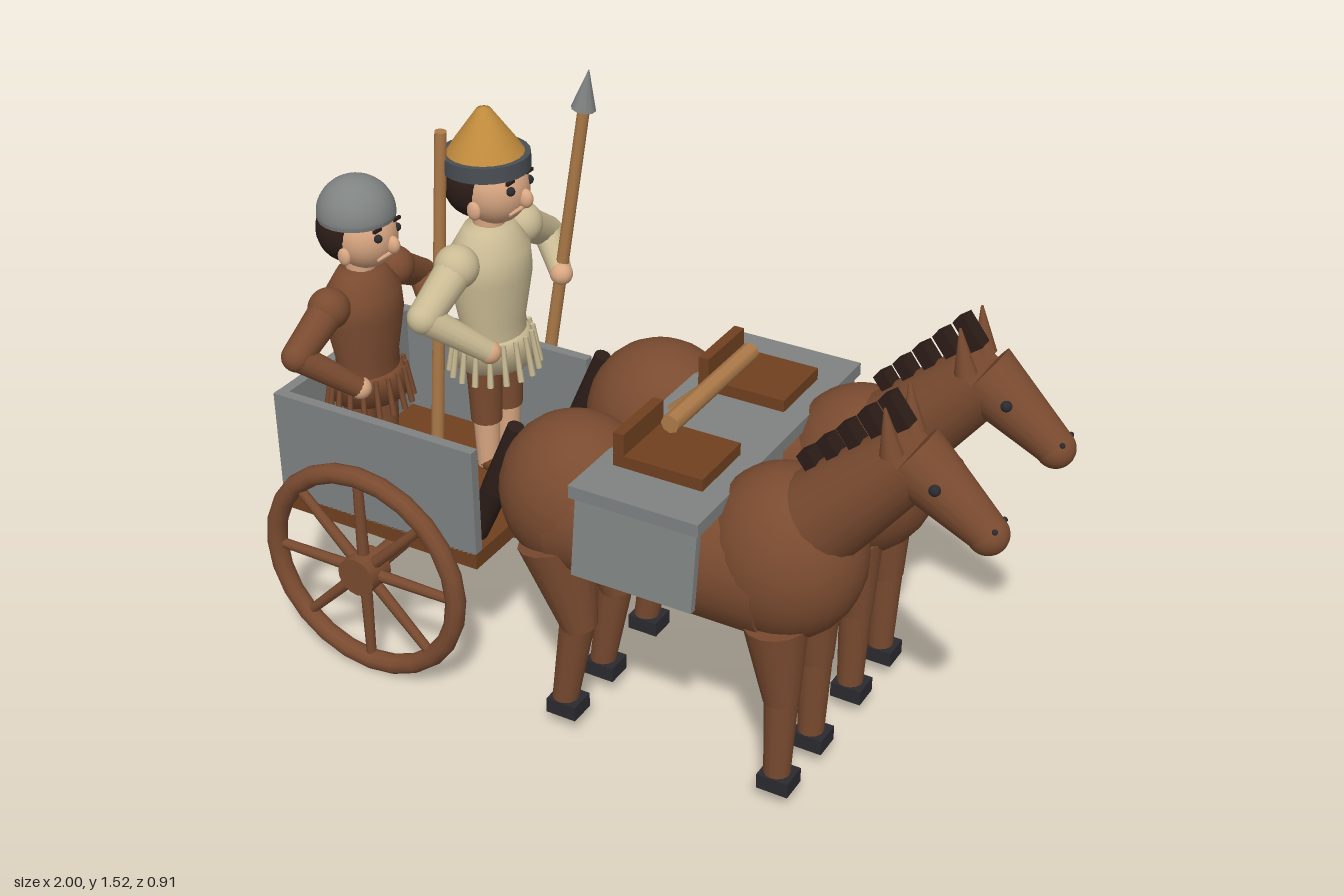
import * as THREE from 'three';

const mat = (name, color) => {
  const m = new THREE.MeshStandardMaterial({ color });
  m.name = name;
  return m;
};
const V = (a) => new THREE.Vector3(...a);

export function createModel() {
  const M = {
    brown: mat('chestnut brown', 0x7a4b30),
    leather: mat('saddle brown', 0x70401f),
    grey: mat('iron grey', 0x7f8382),
    dark: mat('hoof black', 0x2b2a2f),
    hair: mat('dark hair', 0x2c1d18),
    wood: mat('pale wood', 0xae7b49),
    cream: mat('cream cloth', 0xcabb94),
    skin: mat('skin', 0xd9a782),
    gold: mat('gold', 0xbf8a3c),
    band: mat('slate band', 0x4a4f54),
  };
  const root = new THREE.Group();
  root.name = 'chariot';

  // Helpers
  const add = (parent, name, geo, m, pos = [0, 0, 0]) => {
    const mesh = new THREE.Mesh(geo, m);
    mesh.name = name;
    mesh.position.set(...pos);
    parent.add(mesh);
    return mesh;
  };
  const box = (p, name, m, size, pos) => add(p, name, new THREE.BoxGeometry(...size), m, pos);
  const ball = (p, name, m, r, pos) => {
    const mesh = add(p, name, new THREE.SphereGeometry(1, 24, 16), m, pos);
    mesh.scale.set(...(Array.isArray(r) ? r : [r, r, r]));
    return mesh;
  };
  const rod = (p, name, m, a, b, ra, rb = ra, sides = 14) => {
    const d = V(b).sub(V(a));
    const mesh = add(p, name, new THREE.CylinderGeometry(rb, ra, d.length(), sides), m);
    mesh.position.copy(V(a).addScaledVector(d, 0.5));
    mesh.quaternion.setFromUnitVectors(new THREE.Vector3(0, 1, 0), d.normalize());
    return mesh;
  };
  const group = (p, name, pos) => {
    const g = new THREE.Group();
    g.name = name;
    g.position.set(...pos);
    p.add(g);
    return g;
  };
  const lathe = (p, name, m, pts) =>
    add(p, name, new THREE.LatheGeometry(pts.map((q) => new THREE.Vector2(...q)), 24), m);

  // Horses with blankets and saddles
  function horse(z) {
    const h = group(root, 'horse', [0, 0, z]);
    ball(h, 'hindquarters', M.brown, [0.205, 0.21, 0.185], [-0.11, 0.67, 0]);
    ball(h, 'chest', M.brown, [0.2, 0.222, 0.188], [0.46, 0.683, 0]);
    rod(h, 'barrel', M.brown, [-0.11, 0.645, 0], [0.46, 0.65, 0], 0.183, 0.188, 24);
    rod(h, 'neck', M.brown, [0.51, 0.77, 0], [0.765, 1.035, 0], 0.125, 0.085, 20);
    rod(h, 'head', M.brown, [0.755, 1.035, 0], [0.95, 0.89, 0], 0.085, 0.048, 20);
    ball(h, 'muzzle', M.brown, 0.049, [0.95, 0.888, 0]);
    for (let i = 0; i < 5; i++) {
      const lock = box(h, 'maneLock', M.hair, [0.034, 0.085, 0.045], [0.525 + i * 0.048, 0.937 + i * 0.05, 0]);
      lock.rotation.z = 0.65;
    }
    for (const s of [-1, 1]) {
      rod(h, 'ear', M.brown, [0.735, 1.06, s * 0.06], [0.715, 1.175, s * 0.066], 0.028, 0.003, 10);
      ball(h, 'eye', M.dark, 0.014, [0.842, 1.003, s * 0.064]);
      ball(h, 'nostril', M.dark, 0.007, [0.975, 0.917, s * 0.029]);
      // Front leg
      rod(h, 'frontThigh', M.brown, [0.485, 0.54, s * 0.094], [0.505, 0.325, s * 0.094], 0.08, 0.045);
      rod(h, 'frontShin', M.brown, [0.505, 0.335, s * 0.094], [0.5, 0.09, s * 0.094], 0.043, 0.034);
      box(h, 'frontHoof', M.dark, [0.085, 0.042, 0.074], [0.505, 0.08, s * 0.094]);
      // Hind leg
      rod(h, 'hindThigh', M.brown, [-0.12, 0.58, s * 0.094], [-0.058, 0.335, s * 0.094], 0.1, 0.046);
      rod(h, 'hindShin', M.brown, [-0.065, 0.35, s * 0.094], [-0.108, 0.09, s * 0.094], 0.046, 0.034);
      box(h, 'hindHoof', M.dark, [0.085, 0.042, 0.074], [-0.1, 0.08, s * 0.094]);
      // Hanging side of the blanket
      const flap = box(h, 'blanketFlap', M.grey, [0.325, 0.225, 0.02], [0.172, 0.712, s * 0.213]);
      flap.rotation.x = -s * 0.13;
    }
    box(h, 'blanketTop', M.grey, [0.345, 0.034, 0.45], [0.172, 0.825, 0]);
    box(h, 'saddle', M.leather, [0.24, 0.032, 0.19], [0.165, 0.858, 0]);
    box(h, 'saddleBack', M.leather, [0.028, 0.08, 0.19], [0.06, 0.892, 0]);
    rod(h, 'tailRoot', M.hair, [-0.29, 0.8, 0], [-0.36, 0.6, 0], 0.022, 0.036);
    rod(h, 'tailEnd', M.hair, [-0.36, 0.6, 0], [-0.455, 0.37, 0], 0.036, 0.026);
    ball(h, 'tailTip', M.hair, [0.03, 0.028, 0.03], [-0.457, 0.37, 0]);
  }
  for (const s of [-1, 1]) horse(0.008 + s * 0.209);

  // Draw pole and yoke
  rod(root, 'drawPole', M.wood, [-0.42, 0.37, 0.005], [0.12, 0.905, 0.005], 0.028, 0.024, 10);
  rod(root, 'yoke', M.wood, [0.142, 0.93, -0.2], [0.142, 0.93, 0.212], 0.024, 0.024, 8);

  // Cart body, open at the front
  const cart = group(root, 'cart', [-0.683, 0, 0.006]);
  box(cart, 'floor', M.leather, [0.615, 0.045, 0.578], [0, 0.412, 0]);
  box(cart, 'backWall', M.grey, [0.03, 0.305, 0.578], [-0.292, 0.583, 0]);
  for (const s of [-1, 1]) {
    box(cart, 'sideWall', M.grey, [0.615, 0.305, 0.028], [0, 0.583, s * 0.275]);
    // Wheel
    const w = group(cart, 'wheel', [0, 0.325, s * 0.359]);
    add(w, 'rim', new THREE.TorusGeometry(0.286, 0.027, 10, 24), M.brown);
    rod(w, 'hub', M.brown, [0, 0, -0.04], [0, 0, 0.04], 0.055, 0.055, 18);
    for (let i = 0; i < 8; i++) {
      const a = (i * Math.PI) / 4, c = Math.cos(a), n = Math.sin(a);
      rod(w, 'spoke', M.brown, [c * 0.04, n * 0.04, 0], [c * 0.28, n * 0.28, 0], 0.016, 0.013, 8);
    }
  }
  rod(cart, 'axle', M.brown, [0, 0.325, -0.34], [0, 0.325, 0.34], 0.028);

  // Riders, facing the horses
  function rider(name, pos, size, cloth) {
    const r = group(root, name, pos);
    r.scale.setScalar(size);
    lathe(r, 'tunic', cloth, [[0.1, 0.38], [0.1, 0.45], [0.125, 0.58], [0.12, 0.65], [0.075, 0.715], [0, 0.73]]).scale.x = 0.82;
    const skirt = lathe(r, 'skirt', cloth, [[0, 0.33], [0.118, 0.33], [0.1, 0.41], [0, 0.415]]);
    skirt.scale.x = 0.9;
    for (let i = 0; i < 18; i++) {
      const a = (i * Math.PI) / 9, c = Math.cos(a), n = Math.sin(a);
      rod(r, 'fringe', cloth, [c * 0.118, 0.3, n * 0.128], [c * 0.1, 0.41, n * 0.11], 0.009, 0.007, 6);
    }
    rod(r, 'neck', M.skin, [0, 0.7, 0], [0.005, 0.78, 0], 0.042);
    // Head and face
    ball(r, 'face', M.skin, [0.09, 0.097, 0.09], [0.025, 0.825, 0]);
    ball(r, 'hair', M.hair, [0.09, 0.1, 0.1], [-0.025, 0.835, 0]);
    ball(r, 'nose', M.skin, [0.022, 0.026, 0.017], [0.115, 0.81, 0]);
    for (const s of [-1, 1]) {
      ball(r, 'eye', M.dark, 0.012, [0.1, 0.842, s * 0.043]);
      box(r, 'brow', M.hair, [0.008, 0.008, 0.032], [0.1, 0.866, s * 0.043]);
      ball(r, 'ear', M.skin, [0.02, 0.025, 0.012], [0.02, 0.79, s * 0.092]);
      rod(r, 'moustache', M.skin, [0.112, 0.79, 0], [0.098, 0.778, s * 0.05], 0.008, 0.004, 6);
      // Arm bent outwards at the elbow
      const sh = [0, 0.655, s * 0.15], el = [-0.01, 0.57, s * 0.29];
      const hand = [0.105, s < 0 ? 0.52 : 0.45, s * 0.175];
      ball(r, 'shoulder', cloth, 0.058, sh);
      rod(r, 'upperArm', cloth, sh, el, 0.05, 0.042);
      ball(r, 'elbow', cloth, 0.042, el);
      rod(r, 'forearm', cloth, el, hand, 0.04, 0.03);
      ball(r, 'hand', M.skin, 0.031, hand);
      // Leg
      rod(r, 'trouser', M.brown, [0, 0.16, s * 0.05], [0, 0.36, s * 0.05], 0.042, 0.05);
      rod(r, 'shin', M.skin, [0, 0.02, s * 0.05], [0, 0.17, s * 0.05], 0.03, 0.036);
      ball(r, 'shoe', M.leather, [0.06, 0.026, 0.034], [0.025, 0.028, s * 0.05]);
    }
    return r;
  }

  // Rider with a round helmet
  const driver = rider('helmetedRider', [-0.787, 0.43, 0.15], 0.92, M.brown);
  const helmet = add(driver, 'helmet', new THREE.SphereGeometry(0.109, 24, 12, 0, Math.PI * 2, 0, Math.PI / 2), M.grey, [0, 0.88, 0]);
  helmet.scale.y = 0.98;
  rod(driver, 'helmetRim', M.grey, [0, 0.868, 0], [0, 0.882, 0], 0.106, 0.109, 24);
  rod(root, 'staff', M.wood, [-0.715, 0.44, -0.025], [-0.645, 1.42, -0.028], 0.018, 0.016, 10);

  // Rider with a pointed hat and a spear
  const spearman = rider('hattedRider', [-0.58, 0.43, -0.125], 1, M.cream);
  rod(spearman, 'hatBand', M.band, [0, 0.873, 0], [0, 0.915, 0], 0.115, 0.115, 24);
  lathe(spearman, 'hat', M.gold, [[0.102, 0.912], [0.08, 0.945], [0.018, 1.03], [0, 1.034]]);
  const spear = group(root, 'spear', [0, 0, -0.312]);
  rod(spear, 'shaft', M.wood, [-0.572, 0.42, 0], [-0.4, 1.44, 0], 0.018, 0.016, 10);
  rod(spear, 'spearhead', M.grey, [-0.403, 1.428, 0], [-0.385, 1.535, 0], 0.033, 0.001, 10);

  return root;
}
